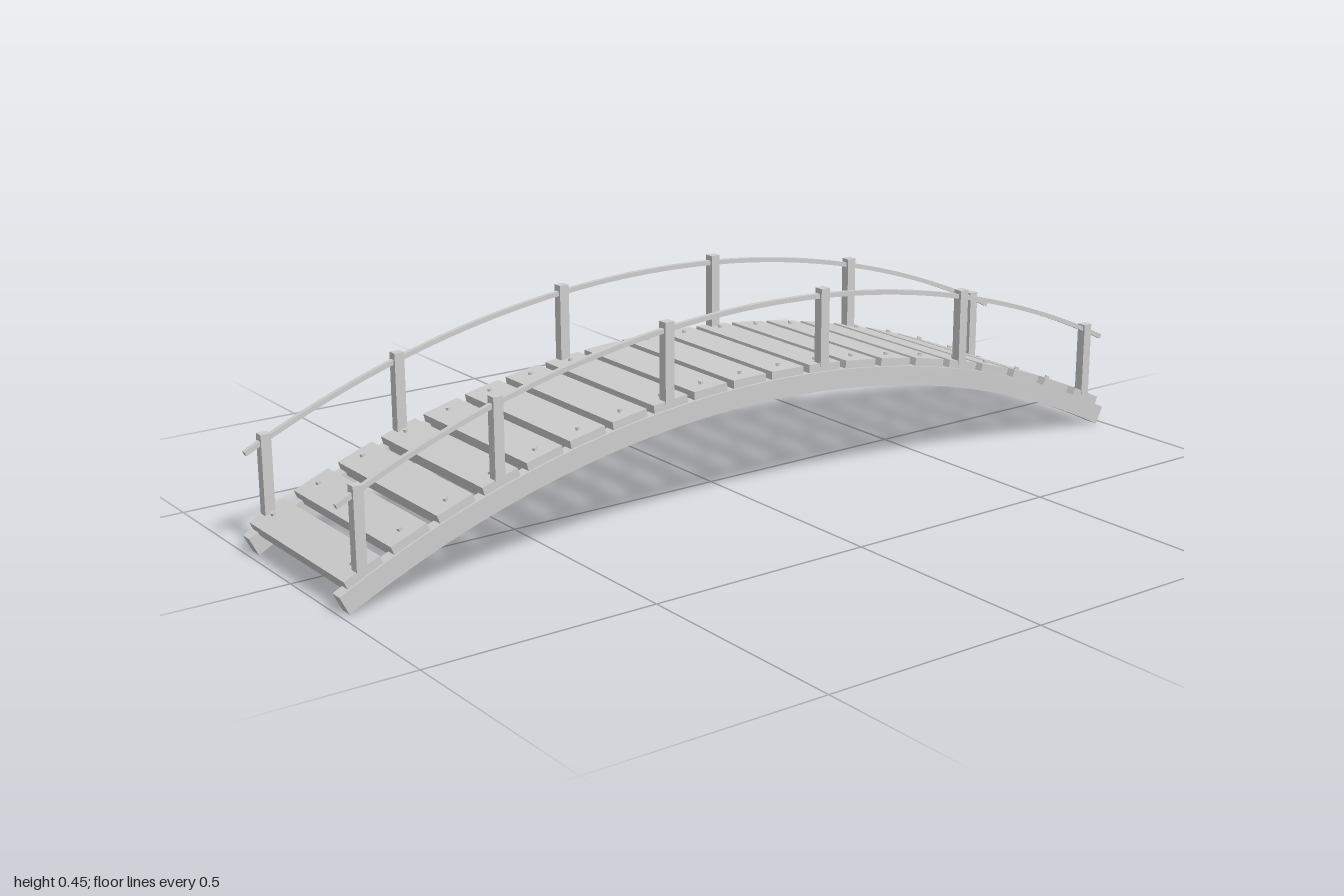
import * as THREE from 'three';

const CY = -1.947;      // height of the arch's centre
const DECK_R = 2.239;   // radius of the walking surface
const deckY = z => CY + Math.sqrt(DECK_R * DECK_R - z * z);

// Curved bar of rectangular section, arching along z
function archGeometry(rIn, rOut, half, width, cy) {
  const a = Math.PI / 2 - half, b = Math.PI / 2 + half;
  const shape = new THREE.Shape();
  shape.absarc(0, cy, rOut, a, b, false);
  shape.absarc(0, cy, rIn, b, a, true);
  shape.closePath();
  const g = new THREE.ExtrudeGeometry(shape, { depth: width, bevelEnabled: false, curveSegments: 40 });
  g.translate(0, 0, -width / 2);
  g.rotateY(Math.PI / 2);
  return g;
}

export function createModel() {
  const bridge = new THREE.Group();
  bridge.name = 'archedFootbridge';
  const grey = new THREE.MeshStandardMaterial({ color: 0xcccccc });
  grey.name = 'paleGrey';

  const add = (parent, geometry, name, x, y, z) => {
    const mesh = new THREE.Mesh(geometry, grey);
    mesh.name = name;
    mesh.position.set(x, y, z);
    parent.add(mesh);
    return mesh;
  };

  const beamGeo = archGeometry(2.18, 2.222, 0.467, 0.028, CY);
  const railGeo = archGeometry(2.265, 2.275, 0.4525, 0.0105, -1.833);
  const plankGeo = new THREE.BoxGeometry(0.4, 0.026, 0.083);
  const boltGeo = new THREE.CylinderGeometry(0.0055, 0.0055, 0.038, 6).toNonIndexed();
  boltGeo.computeVertexNormals();

  // Side beams, handrails and upright posts
  const postZ = [0.95, 0.65, 0.252, -0.148, -0.545, -0.942];
  for (const side of [1, -1]) {
    const prefix = side > 0 ? 'left' : 'right';
    add(bridge, beamGeo, prefix + 'Beam', side * 0.191, 0, 0);
    add(bridge, railGeo, prefix + 'Handrail', side * 0.191, 0, 0);
    for (const z of postZ) {
      const top = deckY(z) + 0.162, bottom = deckY(z) - 0.006;
      const post = new THREE.BoxGeometry(0.021, top - bottom, 0.022);
      add(bridge, post, prefix + 'Post', side * 0.191, (top + bottom) / 2, z);
    }
  }

  // Deck planks tilted along the arch, each held by two bolts
  for (let i = 0; i < 20; i++) {
    const z = -0.95 + i * 0.1;
    const board = new THREE.Group();
    board.name = 'deckBoard';
    const angle = Math.asin(z / DECK_R);
    board.position.set(0, CY + (DECK_R - 0.013) * Math.cos(angle), (DECK_R - 0.013) * Math.sin(angle));
    board.rotation.x = angle;
    add(board, plankGeo, 'plank', 0, 0, 0);
    for (const side of [1, -1]) add(board, boltGeo, 'bolt', side * 0.166, 0, 0);
    bridge.add(board);
  }
  return bridge;
}
